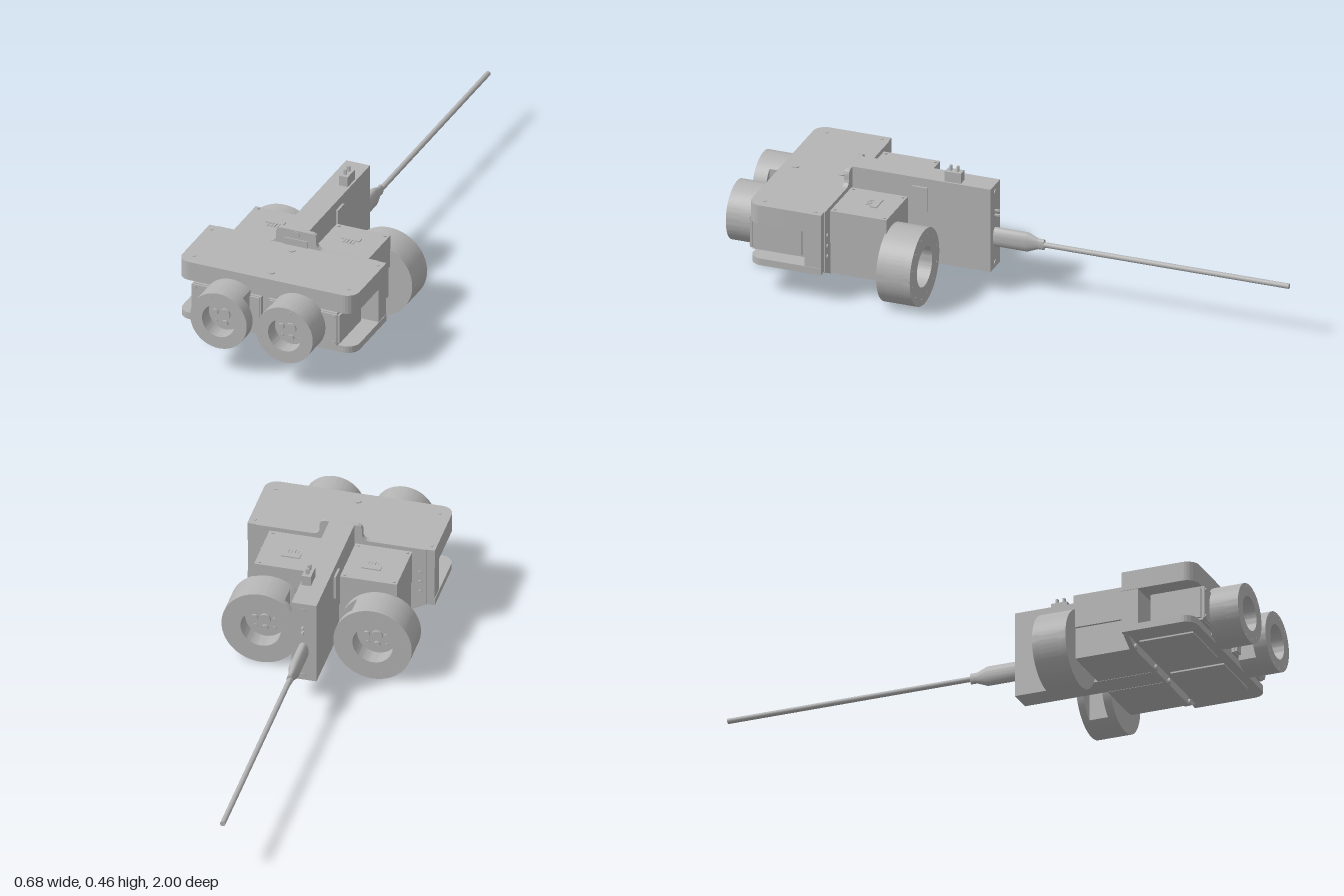
import * as THREE from 'three';
import { toCreasedNormals } from 'three/addons/utils/BufferGeometryUtils.js';

const grey = new THREE.MeshStandardMaterial({ color: 0xb4b4b4 });
grey.name = 'plain grey';

export function createModel() {
  const root = new THREE.Group();
  root.name = 'gripperUnit';

  const add = (name, geo, parent = root) => {
    const m = new THREE.Mesh(geo, grey);
    m.name = name;
    parent.add(m);
    return m;
  };
  // Box given by its limits on each axis
  const box = (name, x0, x1, y0, y1, z0, z1, parent) => {
    const m = add(name, new THREE.BoxGeometry(Math.abs(x1 - x0), y1 - y0, z1 - z0), parent);
    m.position.set((x0 + x1) / 2, (y0 + y1) / 2, (z0 + z1) / 2);
    return m;
  };
  // Cylinder along an axis, starting at (x, y, z)
  const rod = (name, axis, x, y, z, r, len, parent, sides = 16) => {
    const g = new THREE.CylinderGeometry(r, r, len, sides);
    g.translate(0, len / 2, 0);
    if (axis === 'z') g.rotateX(Math.PI / 2);
    if (axis === 'x') g.rotateZ(-Math.PI / 2);
    const m = add(name, g, parent);
    m.position.set(x, y, z);
    return m;
  };
  const extrude = (shape, depth) => toCreasedNormals(
    new THREE.ExtrudeGeometry(shape, { depth, bevelEnabled: false, curveSegments: 48 }), 0.5);

  // Wide deck with rounded front corners
  const deck = (name, y0, y1, w, z0, z1, r) => {
    const s = new THREE.Shape();
    s.moveTo(-w, -z0);
    s.lineTo(-w, -z1 + r);
    s.absarc(-w + r, -z1 + r, r, Math.PI, 1.5 * Math.PI);
    s.absarc(w - r, -z1 + r, r, 1.5 * Math.PI, 2 * Math.PI);
    s.lineTo(w, -z0);
    const m = add(name, extrude(s, y1 - y0).rotateX(-Math.PI / 2));
    m.position.y = y0;
  };
  deck('topDeck', 0.267, 0.338, 0.335, 0.607, 0.88, 0.045);
  deck('bottomDeck', 0.11, 0.135, 0.335, 0.607, 0.875, 0.045);

  // Upright plate with a filleted hump on top
  const p = new THREE.Shape();
  p.moveTo(-0.25, 0.08);
  p.lineTo(0.25, 0.08);
  p.lineTo(0.305, 0.11);
  p.lineTo(0.305, 0.338);
  p.lineTo(0.1, 0.338);
  p.quadraticCurveTo(0.078, 0.34, 0.076, 0.36);
  p.lineTo(0.076, 0.377);
  p.quadraticCurveTo(0.075, 0.397, 0.055, 0.397);
  p.lineTo(-0.055, 0.397);
  p.quadraticCurveTo(-0.075, 0.397, -0.076, 0.377);
  p.lineTo(-0.076, 0.36);
  p.quadraticCurveTo(-0.078, 0.34, -0.1, 0.338);
  p.lineTo(-0.305, 0.338);
  p.lineTo(-0.305, 0.11);
  add('middlePlate', extrude(p, 0.018)).position.z = 0.604;
  box('humpPad', -0.045, 0.045, 0.338, 0.364, 0.62, 0.626);
  rod('humpScrew', 'z', 0, 0.38, 0.62, 0.013, 0.005);

  // Central spine housing
  box('spine', -0.048, 0.042, 0.082, 0.397, 0.092, 0.606);
  box('topConnector', 0.002, 0.035, 0.397, 0.435, 0.205, 0.265);
  for (const z of [0.222, 0.248]) box('connectorPin', 0.013, 0.024, 0.435, 0.455, z - 0.004, z + 0.004);
  for (const y of [0.283, 0.301]) box('rearPin', -0.004, 0.004, y - 0.003, y + 0.003, 0.074, 0.092);
  for (const y of [0.1, 0.37]) rod('rearScrew', 'z', 0, y, 0.089, 0.01, 0.004);

  // Cable with flattened strain relief
  const reliefPts = [[0.0, -0.092], [0.02, -0.092], [0.02, -0.07], [0.036, -0.03], [0.036, 0.1]]
    .map(([r, z]) => new THREE.Vector2(r, z));
  const reliefGeo = new THREE.LatheGeometry(reliefPts, 24).rotateX(Math.PI / 2);
  const relief = add('strainRelief', toCreasedNormals(reliefGeo, 0.4));
  relief.scale.x = 0.55;
  relief.position.set(0, 0.2, 0);
  rod('cable', 'z', 0, 0.2, -1, 0.0095, 0.93);

  // Roller: solid hub in a deep ring whose inner flank is cut flat
  const ringShape = (R, hole, cut, sign) => {
    const s = new THREE.Shape();
    const phi = cut ? Math.acos(cut / R) : 0;
    const turn = sign < 0 ? Math.PI : 0;
    s.absarc(0, 0, R, phi + turn, 2 * Math.PI - phi + turn);
    s.closePath();
    const h = new THREE.Path();
    h.absarc(0, 0, hole, 0, 2 * Math.PI, true);
    s.holes.push(h);
    return s;
  };
  const roller = (name, o) => {
    const g = new THREE.Group();
    g.name = name;
    for (const [z0, z1, isCut] of o.layers)
      add('ring', extrude(ringShape(o.R, o.hole, isCut ? o.cut : 0, o.sign), z1 - z0), g).position.z = z0;
    rod('hub', 'z', 0, 0, 0.002, o.hole + 0.001, o.hub, g, 48);
    const f = o.hub + 0.002;
    rod('hubCentre', 'z', 0, 0, f, 0.02, 0.008, g, 24);
    for (let i = 0; i < 8; i++) {
      const a = i * Math.PI / 4, r = i % 2 ? 0.049 : 0.037;
      rod('hubScrew', 'z', r * Math.cos(a), r * Math.sin(a), f, i % 2 ? 0.007 : 0.012, i % 2 ? 0.003 : 0.008, g);
    }
    for (let i = 0; i < 12; i++) {
      const a = (i + 0.5) * Math.PI / 6, r = (o.R + o.hole) / 2 + 0.01;
      rod('rimPin', 'z', r * Math.cos(a), r * Math.sin(a), o.depth, 0.004, 0.001, g, 8);
    }
    root.add(g);
    return g;
  };

  for (const s of [-1, 1]) {
    const side = s > 0 ? 'left' : 'right';
    const sbox = (name, x0, x1, ...rest) => box(side + name, s * x0, s * x1, ...rest);

    // Rollers
    roller(side + 'FrontRoller', {
      R: 0.107, hole: 0.062, cut: 0.07, sign: -s, hub: 0.055, depth: 0.115,
      layers: [[0, 0.065, true], [0.065, 0.115, false]],
    }).position.set(s * 0.125, 0.203, 0.885);
    const rear = roller(side + 'RearRoller', {
      R: 0.14, hole: 0.072, cut: 0.08, sign: s, hub: 0.06, depth: 0.125,
      layers: [[0, 0.03, false], [0.03, 0.1, true], [0.1, 0.125, false]],
    });
    rear.rotation.y = Math.PI;
    rear.position.set(s * 0.2, 0.14, 0.4);

    // Front motor with mounting face
    sbox('FrontMotor', 0.014, 0.272, 0.137, 0.265, 0.69, 0.886);
    sbox('FrontMotorFace', 0.02, 0.275, 0.142, 0.262, 0.886, 0.893);
    sbox('MotorSidePanel', 0.272, 0.28, 0.145, 0.255, 0.7, 0.88);
    for (const y of [0.152, 0.252]) rod(side + 'FaceScrew', 'z', s * 0.263, y, 0.893, 0.007, 0.004);
    for (const [dx, dy] of [[0.1, 0], [0.05, 0.083], [0.05, -0.083]])
      rod(side + 'FaceTab', 'z', s * (0.125 + dx), 0.203 + dy, 0.88, 0.009, 0.008);

    // Corner post, its back block and screws
    sbox('CornerPost', 0.295, 0.333, 0.135, 0.267, 0.607, 0.668);
    sbox('BackBlock', 0.2, 0.295, 0.135, 0.267, 0.622, 0.668);
    for (const y of [0.16, 0.2, 0.24]) rod(side + 'BackScrew', 'z', s * 0.283, y, 0.6, 0.008, 0.005);

    // Rear motor in two stacked shells
    sbox('RearMotorLower', 0.046, 0.25, 0.083, 0.198, 0.4, 0.605);
    sbox('RearMotorUpper', 0.052, 0.255, 0.2, 0.322, 0.395, 0.605);
    sbox('RearMotorSeam', 0.054, 0.246, 0.197, 0.201, 0.402, 0.603);
    sbox('MotorSocket', 0.11, 0.178, 0.322, 0.326, 0.462, 0.486);
    for (let i = 0; i < 4; i++)
      sbox('SocketPin', 0.122 + i * 0.012, 0.128 + i * 0.012, 0.322, 0.325, 0.486, 0.508);
    for (const x of [0.065, 0.24]) for (const z of [0.408, 0.592])
      rod(side + 'MotorScrew', 'y', s * x, 0.322, z, 0.006, 0.003);

    // Side socket on the spine
    const face = s > 0 ? 0.042 : 0.048;
    sbox('SpineSocket', face, face + 0.008, 0.275, 0.365, 0.325, 0.38);

    // Bolts on the middle plate and decks
    for (const x of [0.06, 0.245]) rod(side + 'PlateBolt', 'z', s * x, 0.091, 0.622, 0.011, 0.008);
    rod(side + 'DeckBolt', 'y', s * 0.315, 0.338, 0.635, 0.007, 0.002);
    rod(side + 'DeckBolt', 'y', s * 0.293, 0.338, 0.832, 0.007, 0.002);

    // Underside panel
    sbox('BottomPanel', 0.03, 0.25, 0.104, 0.11, 0.64, 0.84);
  }

  // Centre pillar between front motors and deck centre screws
  box('centrePillar', -0.012, 0.012, 0.135, 0.267, 0.66, 0.875);
  for (const z of [0.66, 0.832]) rod('deckCentreScrew', 'y', 0, 0.338, z, 0.013, 0.003);

  return root;
}
